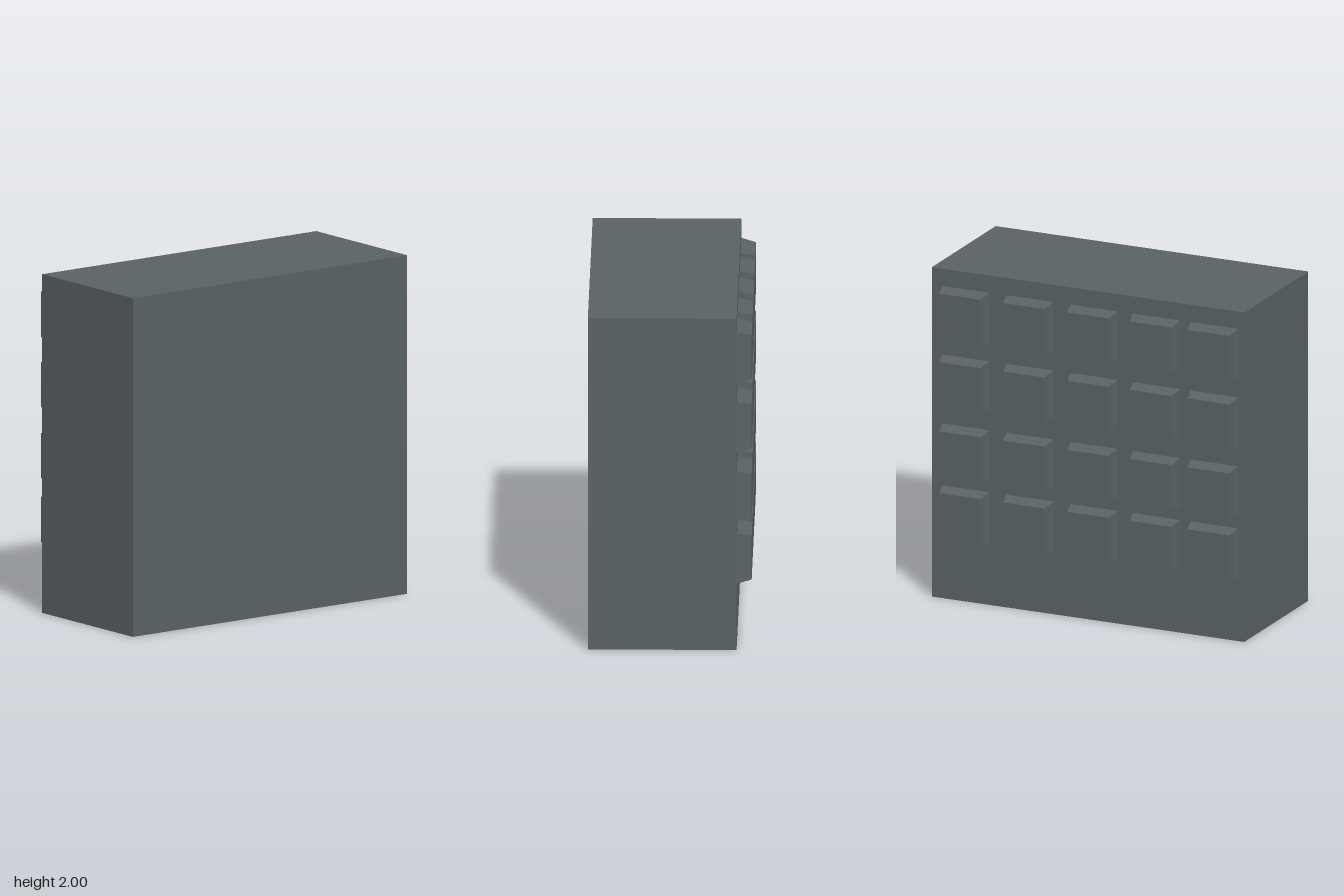
import * as THREE from 'three';

// Square block whose back face (-z) is tapered in
function taperedBlock(base, tip, depth) {
  const geometry = new THREE.BoxGeometry(base, base, depth);
  const pos = geometry.attributes.position;
  for (let i = 0; i < pos.count; i++) {
    if (pos.getZ(i) < 0) {
      pos.setX(i, pos.getX(i) * tip / base);
      pos.setY(i, pos.getY(i) * tip / base);
    }
  }
  geometry.computeVertexNormals();
  return geometry;
}

export function createModel() {
  const model = new THREE.Group();
  const slate = new THREE.MeshStandardMaterial({ color: 0x596164 });
  slate.name = 'slate grey';

  // Solid main block
  const body = new THREE.Mesh(new THREE.BoxGeometry(2, 2, 0.86), slate);
  body.name = 'body';
  body.position.set(0, 1, 0.043);
  model.add(body);

  // Grid of raised keys on the back, slightly uneven in spacing
  const keys = new THREE.Group();
  keys.name = 'keys';
  const depth = 0.086;
  const keyGeometry = taperedBlock(0.305, 0.265, depth);
  const columns = [-0.81, -0.44, -0.04, 0.37, 0.78];
  const rows = [1.743, 1.327, 0.908, 0.532];
  rows.forEach((y, r) => columns.forEach((x, c) => {
    const key = new THREE.Mesh(keyGeometry, slate);
    key.name = `key row ${r + 1} column ${c + 1}`;
    key.position.set(x, y, -0.387 - depth / 2);
    keys.add(key);
  }));
  model.add(keys);

  return model;
}
